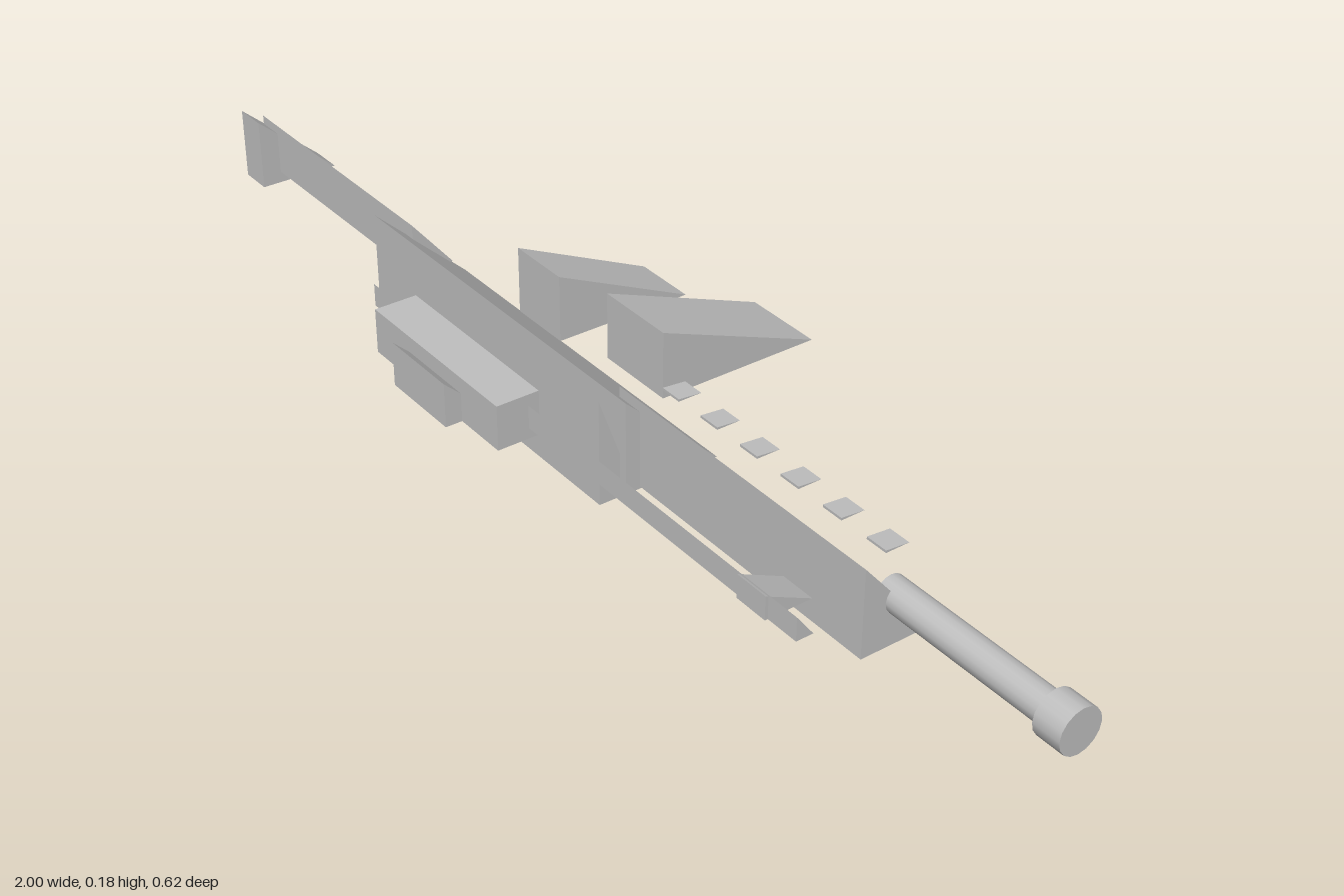
import * as THREE from 'three';

export function createModel() {
  const group = new THREE.Group();
  const grey = new THREE.MeshStandardMaterial({ color: 0xc0c0c0 });
  grey.name = 'plain grey';

  const add = (name, geometry) => {
    const mesh = new THREE.Mesh(geometry, grey);
    mesh.name = name;
    group.add(mesh);
    return mesh;
  };

  // Wedge along x: upright face at zFront, flat base, slope falling to zBack
  const wedge = (name, x0, x1, y0, y1, zFront, zBack) => {
    const shape = new THREE.Shape([
      new THREE.Vector2(-zFront, y0),
      new THREE.Vector2(-zBack, y0),
      new THREE.Vector2(-zFront, y1),
    ]);
    const geometry = new THREE.ExtrudeGeometry(shape, { depth: x1 - x0, bevelEnabled: false });
    geometry.rotateY(Math.PI / 2).translate(x0, 0, 0);
    return add(name, geometry);
  };

  // Cylinder along x, centred on the bore
  const tube = (name, x0, x1, radius) => {
    const geometry = new THREE.CylinderGeometry(radius, radius, x1 - x0, 16);
    geometry.rotateZ(-Math.PI / 2).translate((x0 + x1) / 2, 0.09, 0.075);
    return add(name, geometry);
  };

  // Body
  wedge('receiver', -0.51, 0.18, 0.0125, 0.168, 0.163, -0.002);
  wedge('receiverCover', -0.445, 0.165, 0, 0.177, 0.199, 0.136);
  wedge('handguard', 0.13, 0.67, 0.016, 0.162, 0.138, 0.016);

  // Stock and butt plate
  wedge('stock', -0.99, -0.49, 0.05, 0.14, 0.107, 0.033);
  wedge('buttPlate', -1, -0.94, 0.03, 0.155, 0.142, 0);

  // Grip and magazine
  wedge('grip', -0.315, -0.2, 0.032, 0.148, 0.017, -0.23);
  wedge('magazine', -0.115, 0.03, 0.032, 0.148, -0.014, -0.306);

  // Side housing, knob, rod and catch
  const housing = new THREE.BoxGeometry(0.34, 0.076, 0.073);
  housing.translate(-0.143, 0.09, 0.245);
  add('sideHousing', housing);
  wedge('housingKnob', -0.215, -0.07, 0.052, 0.127, 0.31, 0.23);
  wedge('sideRod', -0.41, 0.643, 0.07, 0.109, 0.227, 0.198);
  wedge('rodCatch', 0.525, 0.585, 0.07, 0.109, 0.232, 0.152);

  // Barrel and muzzle
  tube('barrel', 0.65, 0.96, 0.025);
  tube('muzzle', 0.953, 1, 0.036);

  // Thin rail plates above and below the handguard
  for (let i = 0; i < 6; i++) {
    const x = 0.195 + i * 0.089;
    wedge('upperRailPlate', x - 0.019, x + 0.019, 0.163, 0.167, 0.095, 0.055);
    wedge('lowerRailPlate', x - 0.019, x + 0.019, 0.012, 0.016, 0.095, 0.055);
  }

  return group;
}
